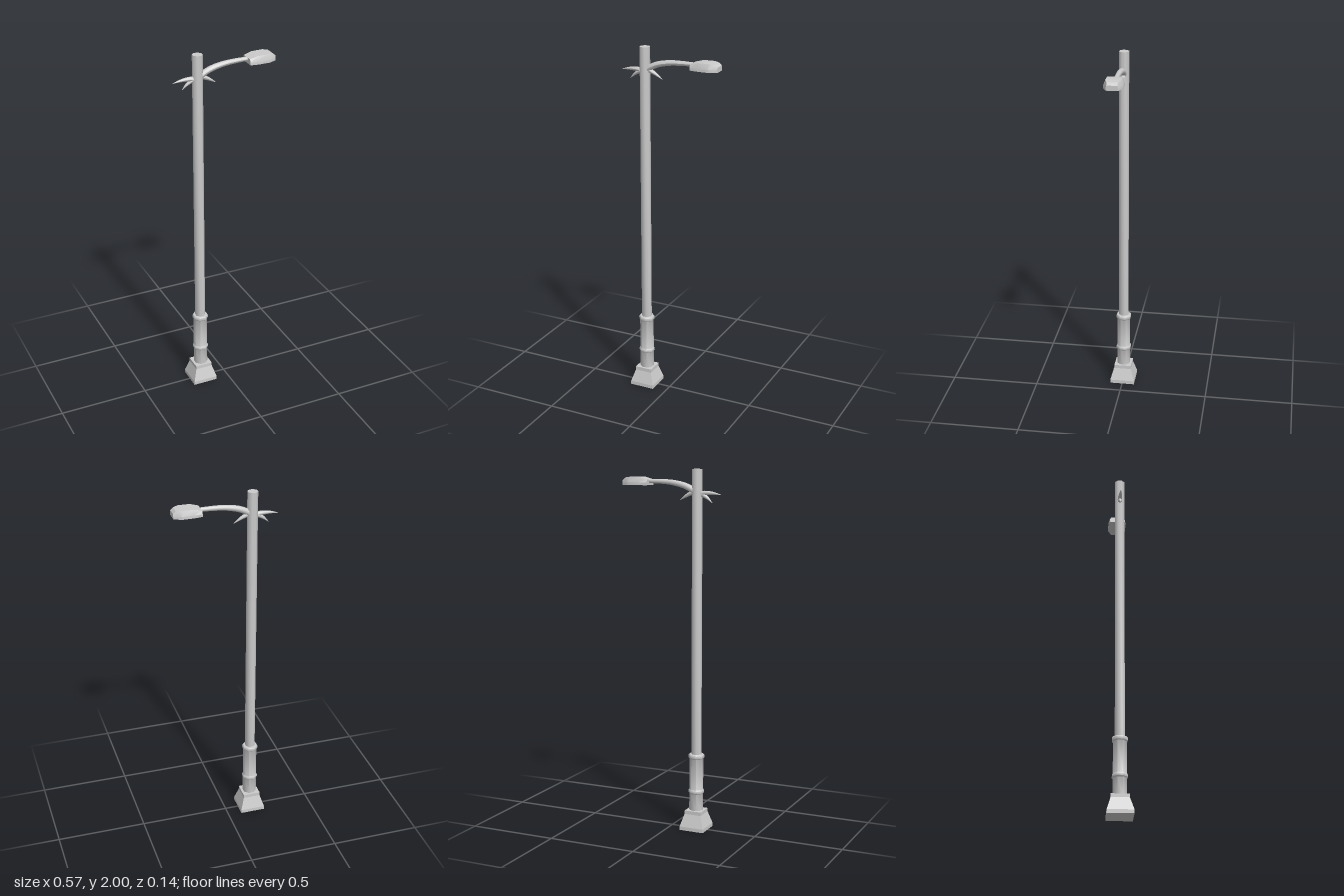
import * as THREE from 'three';
import { toCreasedNormals } from 'three/addons/utils/BufferGeometryUtils.js';

const material = new THREE.MeshStandardMaterial({ color: 0xcccccc });
const POLE_X = -0.147;

function addMesh(group, name, geometry) {
  const mesh = new THREE.Mesh(geometry, material);
  mesh.name = name;
  group.add(mesh);
  return mesh;
}

// Upright prism-like solid; profile is [half width across flats, height]
function turned(profile, sides, crease) {
  const k = 1 / Math.cos(Math.PI / sides);
  const points = profile.map(([r, y]) => new THREE.Vector2(r * k, y));
  const g = new THREE.LatheGeometry(points, sides, Math.PI / sides);
  return toCreasedNormals(g, crease);
}

// Tube along a curve in the z = 0 plane with a changing radius
function taperedTube(points, radii, segments = 10, sides = 10) {
  const curve = new THREE.CatmullRomCurve3(points.map(([x, y]) => new THREE.Vector3(x, y, 0)));
  const g = new THREE.TubeGeometry(curve, segments, 1, sides, false);
  const pos = g.attributes.position;
  const v = new THREE.Vector3();
  for (let i = 0; i <= segments; i++) {
    const u = i / segments;
    const centre = curve.getPointAt(u);
    const f = u * (radii.length - 1);
    const k = Math.min(Math.floor(f), radii.length - 2);
    const r = THREE.MathUtils.lerp(radii[k], radii[k + 1], f - k);
    for (let j = 0; j <= sides; j++) {
      const n = i * (sides + 1) + j;
      v.fromBufferAttribute(pos, n).sub(centre).multiplyScalar(r).add(centre);
      pos.setXYZ(n, v.x, v.y, v.z);
    }
  }
  g.computeVertexNormals();
  return g;
}

// Lamp housing lofted along x: [x, rim half width, top half width, rim y, top y]
function lampHousing() {
  const bottom = 1.91;
  const stations = [
    [0.135, 0.045, 0.036, 1.925, 1.941],
    [0.18, 0.051, 0.04, 1.926, 1.953],
    [0.245, 0.051, 0.04, 1.926, 1.954],
    [0.272, 0.0385, 0.029, 1.926, 1.95],
    [0.287, 0.032, 0.028, 1.926, 1.937],
  ];
  const positions = [];
  const index = [];
  const n = 6;
  for (const [x, w, t, rim, top] of stations) {
    positions.push(x, bottom, -w, x, rim, -w, x, top, -t, x, top, t, x, rim, w, x, bottom, w);
  }
  for (let s = 0; s < stations.length - 1; s++) {
    for (let i = 0; i < n; i++) {
      const a = s * n + i;
      const b = s * n + (i + 1) % n;
      index.push(a, b, a + n, b, b + n, a + n);
    }
  }
  const end = (stations.length - 1) * n;
  for (let i = 1; i < n - 1; i++) {
    index.push(0, i + 1, i, end, end + i, end + i + 1);
  }
  const g = new THREE.BufferGeometry();
  g.setAttribute('position', new THREE.Float32BufferAttribute(positions, 3));
  g.setIndex(index);
  return toCreasedNormals(g, 0.45);
}

export function createModel() {
  const model = new THREE.Group();
  model.name = 'streetLamp';

  // Square flared foot
  addMesh(model, 'foot', turned(
    [[0, 0], [0.0705, 0], [0.0705, 0.02], [0.049, 0.09], [0.049, 0.11], [0, 0.11]], 4, 0.1,
  )).position.x = POLE_X;

  // Thick lower shaft with a middle band and a top collar
  addMesh(model, 'lowerShaft', turned([
    [0.036, 0.1], [0.036, 0.205], [0.041, 0.21], [0.041, 0.222], [0.036, 0.23],
    [0.036, 0.405], [0.041, 0.41], [0.041, 0.425], [0.037, 0.431], [0, 0.431],
  ], 8, 0.9)).position.x = POLE_X;

  // Long slim pole
  addMesh(model, 'pole', turned([[0.0262, 0.42], [0.0262, 2], [0, 2]], 8, 0.9)).position.x = POLE_X;

  // Curved arm and lamp
  addMesh(model, 'arm', taperedTube(
    [[-0.147, 1.868], [-0.115, 1.891], [-0.07, 1.911], [0, 1.926], [0.07, 1.931], [0.14, 1.932]],
    [0.018, 0.0165, 0.014, 0.0115], 16,
  ));
  addMesh(model, 'lampHousing', lampHousing());

  // Ornamental spikes fanning from the pole
  const spikes = {
    leftSpike: [[-0.145, 1.864], [-0.19, 1.873], [-0.24, 1.872], [-0.287, 1.864]],
    lowerLeftSpike: [[-0.145, 1.875], [-0.175, 1.865], [-0.207, 1.846], [-0.235, 1.82]],
    lowerRightSpike: [[-0.15, 1.884], [-0.115, 1.872], [-0.08, 1.855], [-0.044, 1.832]],
  };
  for (const [name, points] of Object.entries(spikes)) {
    addMesh(model, name, taperedTube(points, [0.013, 0.0125, 0.008, 0.001]));
  }
  return model;
}
